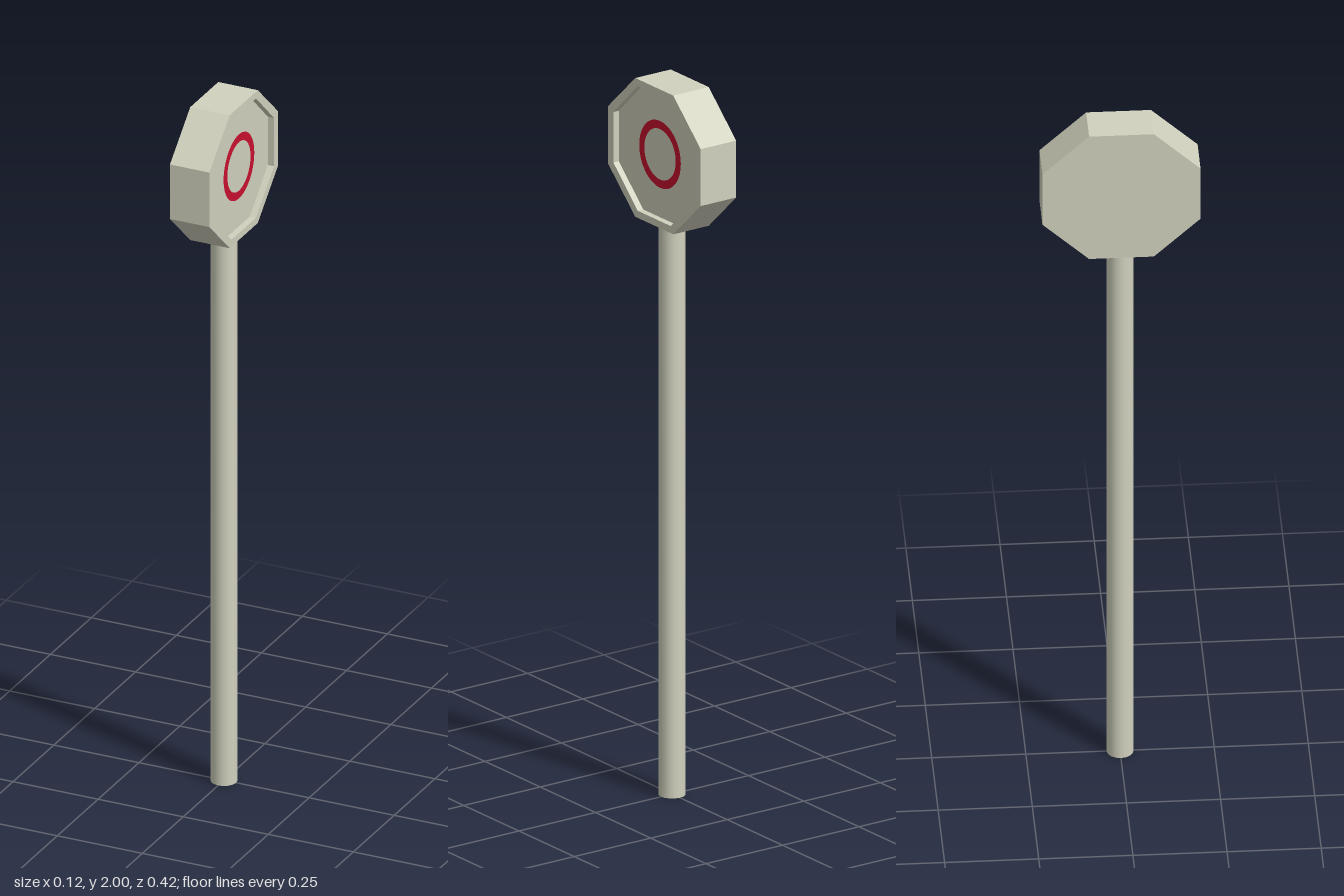
import * as THREE from 'three';

const cream = new THREE.MeshStandardMaterial({ color: 0xd0d1bd });
const creamFlat = new THREE.MeshStandardMaterial({ color: 0xd0d1bd, flatShading: true });
const red = new THREE.MeshStandardMaterial({ color: 0xc8102e });

const CENTRE_Y = 1.805;
const HALF_DEPTH = 0.058;
const PANEL_X = 0.04;

// Octagon in the plane x, counter-clockwise when seen from +x
function octagon(x, hz, hy, cz, cy) {
  return [[-hz, -cy], [-hz, cy], [-cz, hy], [cz, hy], [hz, cy], [hz, -cy], [cz, -hy], [-cz, -hy]]
    .map(([z, y]) => [x, y, z]);
}

// Skin successive octagons with flat faces; the first and last loops are single points
function skin(loops) {
  const pos = [];
  for (let k = 0; k < loops.length - 1; k++) {
    const a = loops[k], b = loops[k + 1];
    for (let i = 0; i < 8; i++) {
      const j = (i + 1) % 8;
      if (k < loops.length - 2) pos.push(...a[i], ...b[j], ...b[i]);
      if (k > 0) pos.push(...a[i], ...a[j], ...b[j]);
    }
  }
  const geo = new THREE.BufferGeometry();
  geo.setAttribute('position', new THREE.Float32BufferAttribute(pos, 3));
  geo.computeVertexNormals();
  return geo;
}

function add(group, name, geometry, material) {
  const mesh = new THREE.Mesh(geometry, material);
  mesh.name = name;
  group.add(mesh);
  return mesh;
}

export function createModel() {
  const group = new THREE.Group();
  group.name = 'signPost';

  // Round post, ending inside the sign head
  const postTop = 1.66;
  add(group, 'post', new THREE.CylinderGeometry(0.036, 0.036, postTop, 16), cream)
    .position.y = postTop / 2;

  // Octagonal box: flat back, side walls, raised rim and recessed panel
  const outer = [0.21, 0.195, 0.086, 0.08];
  const inner = [0.185, 0.175, 0.075, 0.071];
  const head = skin([
    octagon(-HALF_DEPTH, 0, 0, 0, 0),
    octagon(-HALF_DEPTH, ...outer),
    octagon(HALF_DEPTH, ...outer),
    octagon(HALF_DEPTH, ...inner),
    octagon(PANEL_X, ...inner),
    octagon(PANEL_X, 0, 0, 0, 0),
  ]);
  add(group, 'signHead', head, creamFlat).position.y = CENTRE_Y;

  // Red ring lying on the panel
  const ring = add(group, 'redRing', new THREE.RingGeometry(0.071, 0.094, 48), red);
  ring.rotation.y = Math.PI / 2;
  ring.position.set(PANEL_X + 0.002, CENTRE_Y + 0.003, -0.004);

  return group;
}
